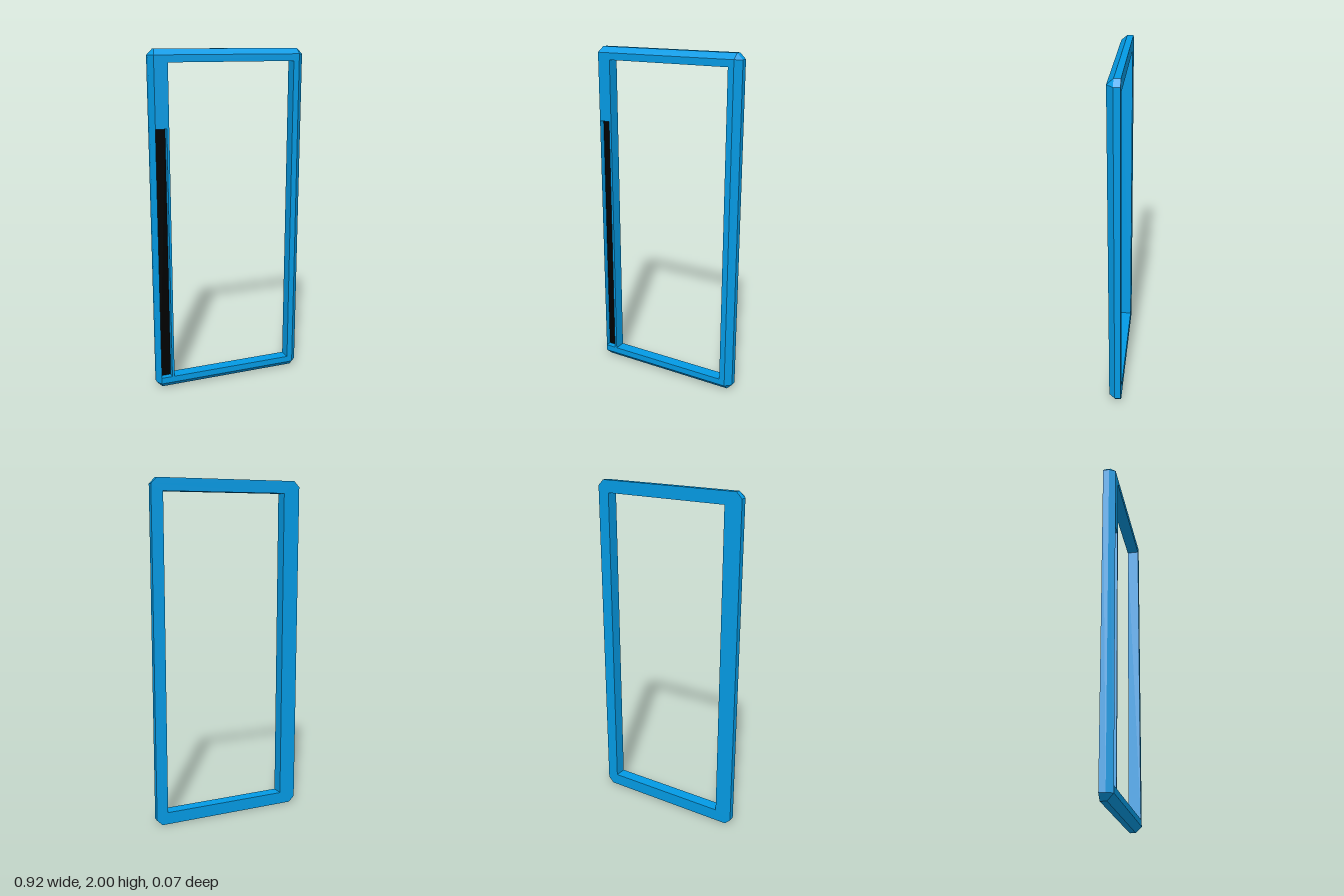
import * as THREE from 'three';

const V = (pts) => pts.map(([x, y]) => new THREE.Vector2(x, y));
const rect = (x0, y0, x1, y1) => V([[x0, y0], [x1, y0], [x1, y1], [x0, y1]]);

// Band of faces between two matching loops; counter-clockwise loops face outward
function band(a, za, b, zb) {
  const out = [];
  a.forEach((p, i) => {
    const j = (i + 1) % a.length;
    out.push(p.x, p.y, za, a[j].x, a[j].y, za, b[j].x, b[j].y, zb);
    // Where the second loop repeats a corner the face is a single triangle
    if (b[i] !== b[j]) out.push(p.x, p.y, za, b[j].x, b[j].y, zb, b[i].x, b[i].y, zb);
  });
  return out;
}

// Flat face at depth z, pointing to +z or, when flipped, to -z
function face(outline, holes, z, flip) {
  const all = [outline, ...holes].flat();
  return THREE.ShapeUtils.triangulateShape(outline, holes)
    .flatMap(([a, b, c]) => (flip ? [a, c, b] : [a, b, c]))
    .flatMap((i) => [all[i].x, all[i].y, z]);
}

function makeMesh(name, positions, material) {
  const g = new THREE.BufferGeometry();
  g.setAttribute('position', new THREE.Float32BufferAttribute(positions, 3));
  g.computeVertexNormals();
  const m = new THREE.Mesh(g, material);
  m.name = name;
  return m;
}

export function createModel() {
  const blue = new THREE.MeshStandardMaterial({ color: 0x039be5 });
  blue.name = 'frameBlue';
  const black = new THREE.MeshStandardMaterial({ color: 0x000000 });
  black.name = 'stripBlack';

  const W = 0.462, H = 2, C = 0.034, back = -0.036, mid = 0, front = 0.036;
  const L = -0.44, R = 0.427, B = 0.035, T = 1.968;       // front face limits
  const r0 = -0.375, rb = 0.072, rt = 1.57;               // recess limits

  // Outline with cut corners, and the four front corners paired to it
  const outer = V([[-W + C, 0], [W - C, 0], [W, C], [W, H - C],
    [W - C, H], [-W + C, H], [-W, H - C], [-W, C]]);
  const [bl, br, tr, tl] = rect(L, B, R, T);
  const bevel = [bl, br, br, tr, tr, tl, tl, bl];

  const opening = rect(-0.361, 0.072, 0.393, 1.928);
  const recess = rect(L, rb, r0, rt);
  const inward = (loop) => [...loop].reverse();

  // Front face, notched on one side for the recess
  const frontOutline = [bl, br, tr, tl, ...V([[L, rt], [r0, rt], [r0, rb], [L, rb]])];

  const frame = makeMesh('frame', [
    ...band(outer, back, outer, mid),
    ...band(outer, mid, bevel, front),
    ...face(frontOutline, [opening], front, false),
    ...face(outer, [opening], back, true),
    ...band(inward(opening), back, inward(opening), front),
    ...band(inward(recess), mid, inward(recess), front),
  ], blue);

  // Dark floor of the recess
  const strip = makeMesh('recessedStrip', face(recess, [], mid, false), black);

  const group = new THREE.Group();
  group.name = 'rectangularFrame';
  group.add(frame, strip);
  return group;
}
